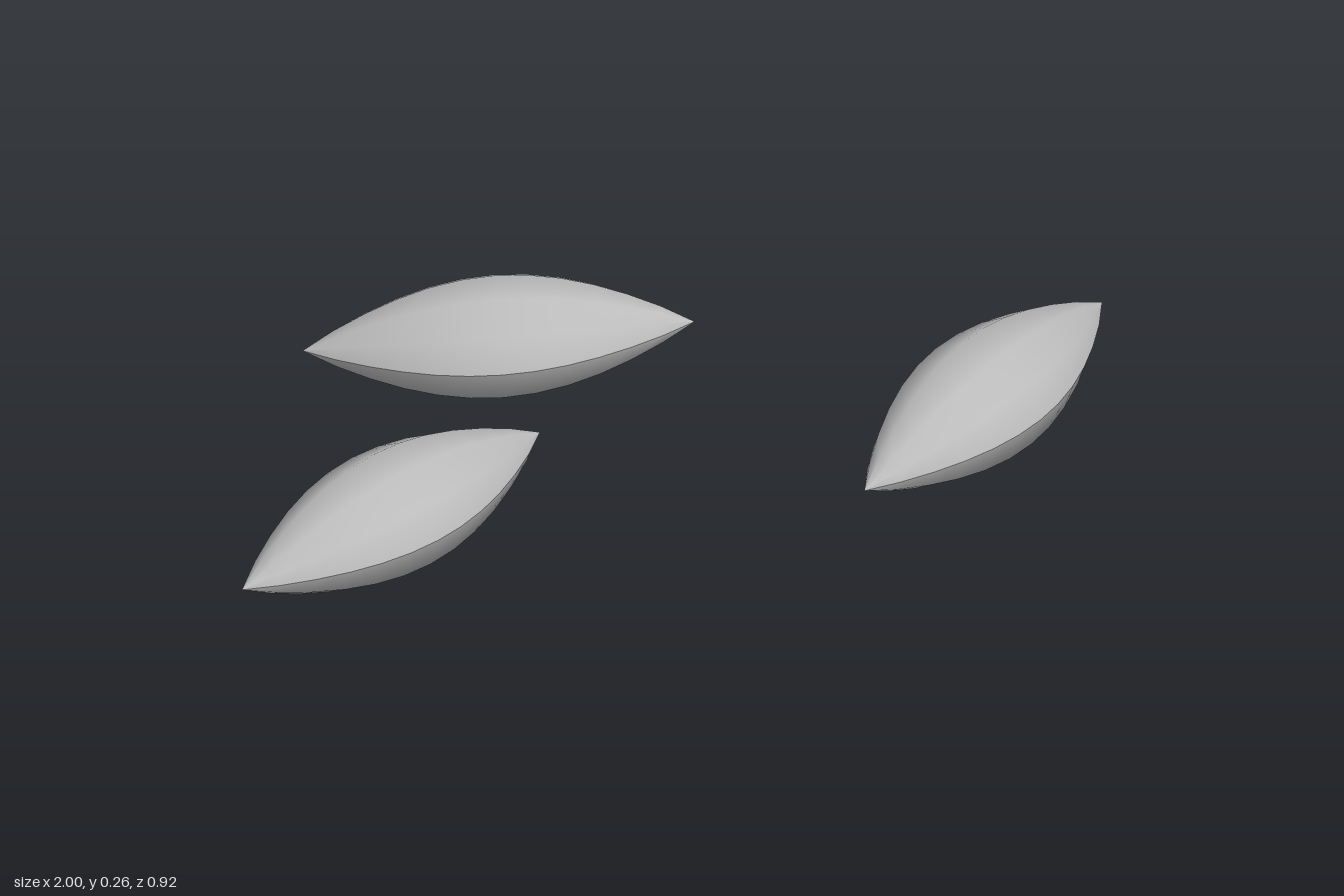
import * as THREE from 'three';

const LENGTH = 0.8, RADIUS = 0.146, FLATTEN = 0.85;

// Pointed spindle lying along x, ten-sided, with a creased seam on its front
function grainGeometry() {
  const profile = [];
  const steps = 12;
  for (let i = 0; i <= steps; i++) {
    const t = i / steps;
    const r = i === 0 || i === steps ? 0 : RADIUS * Math.pow(Math.sin(Math.PI * t), 0.9);
    profile.push(new THREE.Vector2(r, (t - 0.5) * LENGTH));
  }
  const geometry = new THREE.LatheGeometry(profile, 10);
  geometry.rotateZ(-Math.PI / 2);
  geometry.scale(1, FLATTEN, 1);
  geometry.computeVertexNormals(); // leaves the seam unsmoothed
  return geometry;
}

export function createModel() {
  const group = new THREE.Group();
  group.name = 'grains';
  const grey = new THREE.MeshStandardMaterial({ color: 0xbcbcbc });
  grey.name = 'light grey';
  const geometry = grainGeometry();

  // Centre of each grain and its heading on the ground
  const grains = [
    { name: 'rightGrain', at: [-0.622, 0.121, 0.19], yaw: Math.atan2(0.25, 0.755) },
    { name: 'backGrain', at: [-0.185, 0.145, -0.297], yaw: Math.atan2(-0.265, 0.75) },
    { name: 'leftGrain', at: [0.655, 0.121, 0.252], yaw: Math.atan2(0.405, 0.69) },
  ];
  for (const { name, at, yaw } of grains) {
    const grain = new THREE.Mesh(geometry, grey);
    grain.name = name;
    grain.position.set(...at);
    grain.rotation.set(0, yaw, 0.056); // slight upward tilt
    group.add(grain);
  }
  return group;
}
